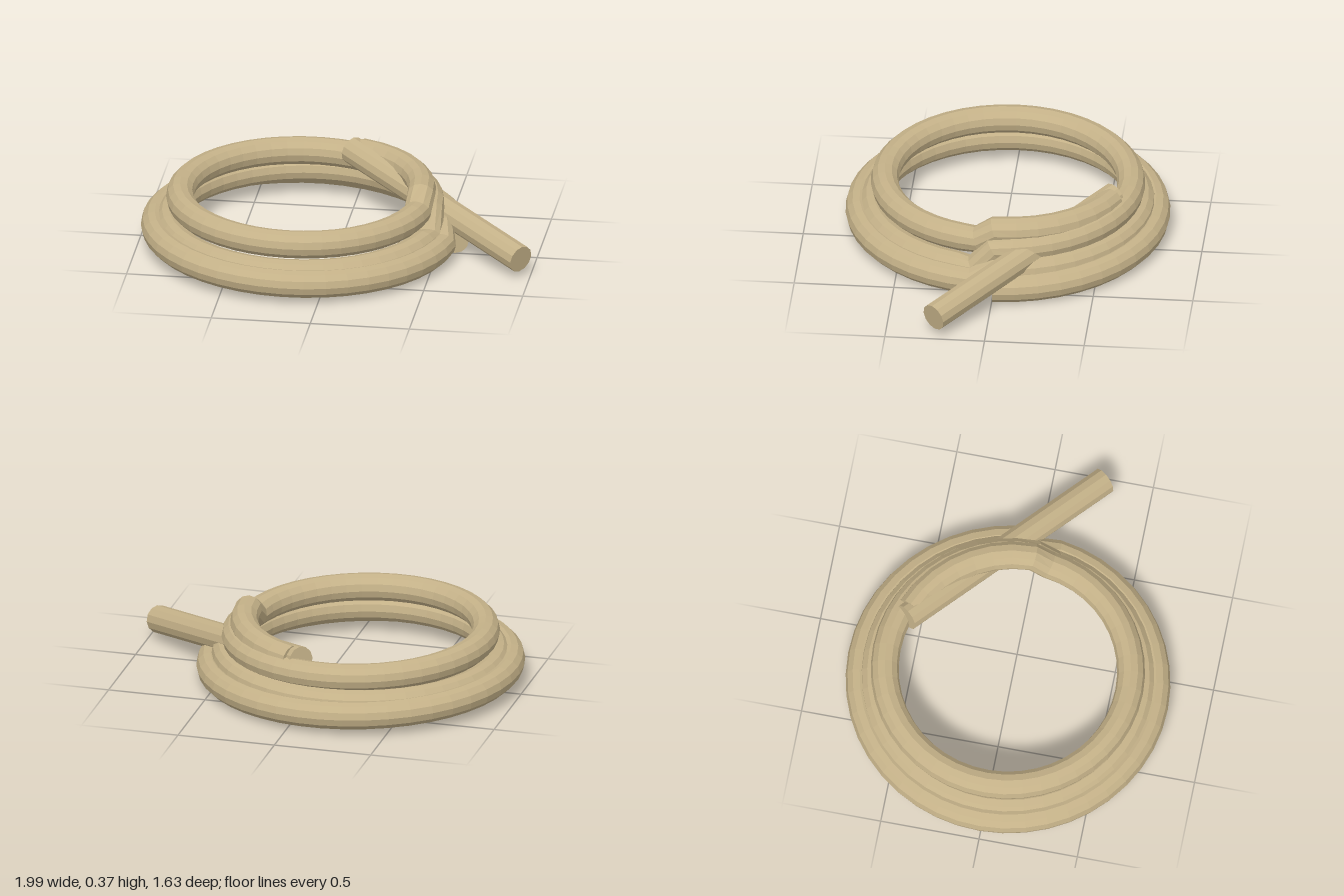
import * as THREE from 'three';

const RADIUS = 0.07, SIDES = 12, STEPS = 44, CENTRE_X = -0.18;

// Sweeps a closed round section along a list of points, keeping sharp kinks
function sweep(points, radius) {
  const up = new THREE.Vector3(0, 1, 0), pos = [], index = [], n = points.length;
  points.forEach((p, i) => {
    const tangent = new THREE.Vector3()
      .subVectors(points[Math.min(i + 1, n - 1)], points[Math.max(i - 1, 0)]).normalize();
    const side = new THREE.Vector3().crossVectors(tangent, up).normalize();
    const top = new THREE.Vector3().crossVectors(side, tangent);
    for (let j = 0; j < SIDES; j++) {
      const a = (j / SIDES) * Math.PI * 2;
      const v = p.clone().addScaledVector(side, radius * Math.cos(a)).addScaledVector(top, radius * Math.sin(a));
      pos.push(v.x, v.y, v.z);
    }
  });
  pos.push(...points[0].toArray(), ...points[n - 1].toArray());
  const first = n * SIDES, last = first + 1, end = (n - 1) * SIDES;
  for (let j = 0; j < SIDES; j++) {
    const k = (j + 1) % SIDES;
    for (let i = 0; i < n - 1; i++) {
      const a = i * SIDES, b = a + SIDES;
      index.push(a + j, b + j, a + k, b + j, b + k, a + k);
    }
    index.push(first, j, k, last, end + k, end + j); // end caps
  }
  const g = new THREE.BufferGeometry();
  g.setAttribute('position', new THREE.Float32BufferAttribute(pos, 3));
  g.setIndex(index);
  g.computeVertexNormals();
  return g;
}

export function createModel() {
  const group = new THREE.Group();
  group.name = 'coiledRope';
  const material = new THREE.MeshStandardMaterial({ color: 0xc4b188, flatShading: true });
  const add = (name, points) => {
    const mesh = new THREE.Mesh(sweep(points, RADIUS), material);
    mesh.name = name;
    group.add(mesh);
  };

  // Three loops and a short arc; each steps up to the next in one short kink
  const loops = [
    { r: [0.765, 0.722], y: [0.072, 0.085], sag: 0.033, turn: 1 },
    { r: [0.69, 0.655], y: [0.135, 0.12], sag: 0.005, turn: 1 },
    { r: [0.64, 0.595], y: [0.23, 0.25], sag: 0.024, turn: 1 },
    { r: [0.595, 0.588], y: [0.308, 0.288], sag: 0, turn: 0.19 },
  ];
  const coil = [];
  for (const { r, y, sag, turn } of loops) {
    const count = Math.round(STEPS * turn);
    for (let i = 0; i < count; i++) {
      const t = i / (count - 1);
      const a = t * (turn === 1 ? (count - 1) / STEPS : turn) * Math.PI * 2;
      const radius = THREE.MathUtils.lerp(r[0], r[1], t);
      const height = THREE.MathUtils.lerp(y[0], y[1], t) + sag * (1 - Math.cos(a)) / 2;
      coil.push(new THREE.Vector3(CENTRE_X + radius * Math.cos(a), height, -radius * Math.sin(a)));
    }
  }
  add('coil', coil);

  // Straight loose end, folded back across the coil
  add('looseEnd', [new THREE.Vector3(-0.015, 0.292, -0.56), new THREE.Vector3(0.955, 0.1, 0.26)]);
  return group;
}
